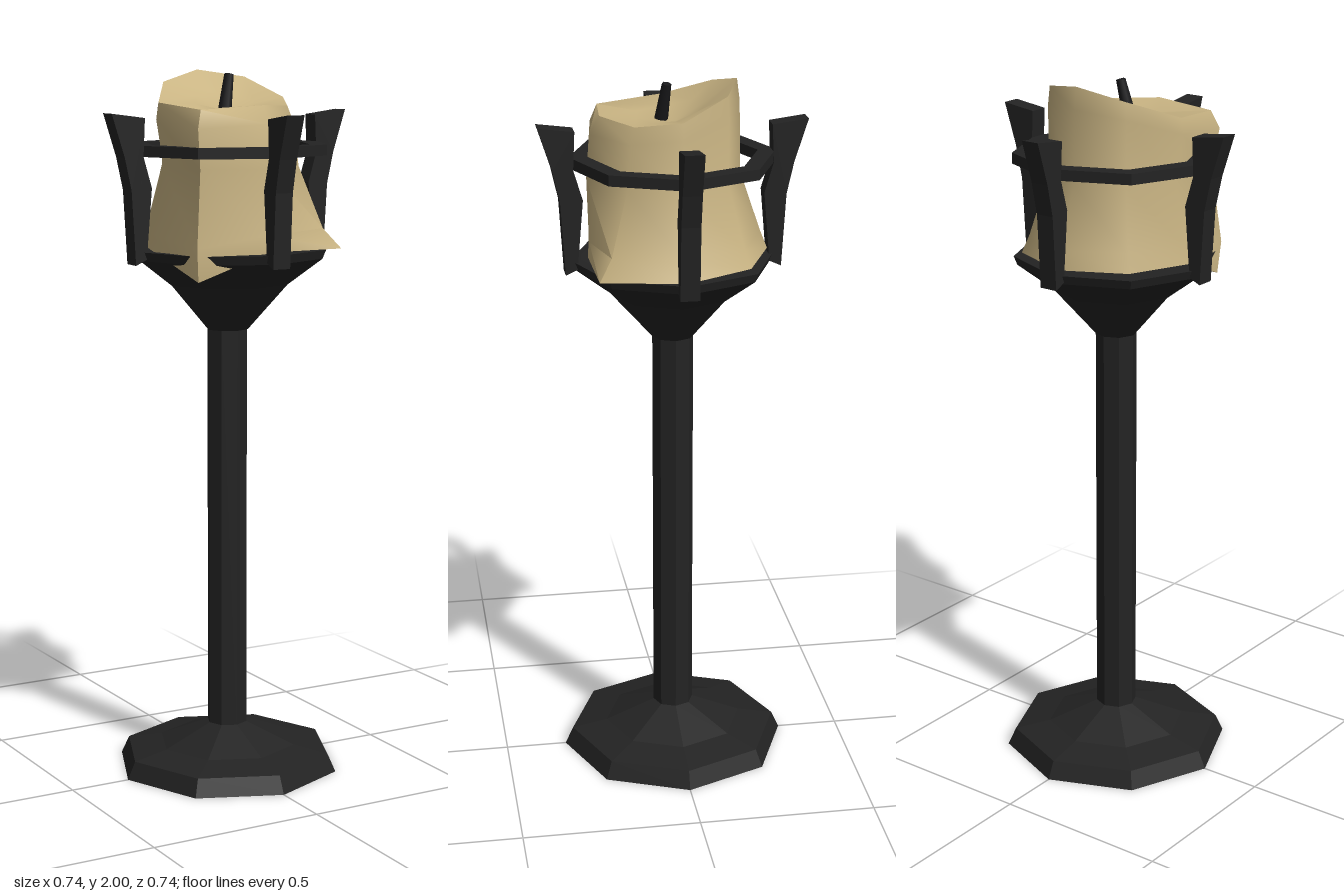
import * as THREE from 'three';
import { toCreasedNormals } from 'three/addons/utils/BufferGeometryUtils.js';

const SIDES = 8;

export function createModel() {
  const group = new THREE.Group();
  const iron = new THREE.MeshStandardMaterial({ color: 0x232323 });
  const wax = new THREE.MeshStandardMaterial({ color: 0xc9b483 });
  const char = new THREE.MeshStandardMaterial({ color: 0x18181a });

  const add = (name, geometry, material) => {
    const mesh = new THREE.Mesh(geometry, material);
    mesh.name = name;
    group.add(mesh);
    return mesh;
  };

  // Eight-sided turned iron part with flat faces
  const turned = (name, profile) => {
    const points = profile.map(([r, y]) => new THREE.Vector2(r, y));
    const geometry = new THREE.LatheGeometry(points, SIDES);
    return add(name, toCreasedNormals(geometry, 0.1), iron);
  };

  turned('base', [[0, 0], [0.325, 0], [0.302, 0.05], [0.2, 0.07], [0.055, 0.13], [0, 0.13]]);
  turned('pole', [[0.058, 0.12], [0.058, 1.3]]);
  turned('cup', [[0, 1.28], [0.06, 1.28], [0.175, 1.41], [0.275, 1.485], [0.285, 1.51], [0.23, 1.51], [0, 1.5]]);
  turned('ring', [[0.235, 1.77], [0.285, 1.77], [0.285, 1.8], [0.235, 1.8], [0.235, 1.77]]);

  // Four bent arms around the cup
  const armShape = new THREE.Shape([
    [0.3, 1.475], [0.312, 1.68], [0.332, 1.77], [0.37, 1.888], [0.27, 1.875],
    [0.275, 1.77], [0.25, 1.685], [0.267, 1.49],
  ].map(([x, y]) => new THREE.Vector2(x, y)));
  const armGeometry = new THREE.ExtrudeGeometry(armShape, { depth: 0.053, bevelEnabled: false });
  armGeometry.translate(0, 0, -0.0265);
  for (let i = 0; i < 4; i++) add('arm', armGeometry, iron).rotation.y = (i * Math.PI) / 2;

  // Melted candle: radius and height per column, from the front round by the left side
  const rings = [
    { r: [0, 0, 0, 0, 0, 0, 0, 0], y: Array(8).fill(1.505) },
    { r: [0.235, 0.328, 0.272, 0.262, 0.265, 0.25, 0.25, 0.285], y: [1.515, 1.515, 1.515, 1.52, 1.52, 1.52, 1.52, 1.44] },
    { r: [0.232, 0.275, 0.25, 0.24, 0.245, 0.235, 0.245, 0.295], y: [1.56, 1.57, 1.57, 1.57, 1.57, 1.57, 1.56, 1.53] },
    { r: [0.237, 0.205, 0.192, 0.185, 0.187, 0.19, 0.2, 0.265], y: Array(8).fill(1.74) },
    { r: [0.228, 0.19, 0.188, 0.185, 0.183, 0.192, 0.222, 0.285], y: [1.86, 1.86, 1.88, 1.93, 1.94, 1.92, 1.87, 1.85] },
    { r: [0.2, 0.172, 0.18, 0.18, 0.175, 0.185, 0.215, 0.26], y: [1.91, 1.905, 1.925, 1.98, 2, 1.968, 1.915, 1.9] },
    { r: [0.1, 0.09, 0.09, 0.09, 0.09, 0.09, 0.1, 0.12], y: [1.9, 1.9, 1.91, 1.93, 1.94, 1.93, 1.91, 1.9] },
    { r: [0, 0, 0, 0, 0, 0, 0, 0], y: Array(8).fill(1.885) },
  ];
  const candle = new THREE.LatheGeometry(rings.map((_, j) => new THREE.Vector2(0.1, j)), SIDES);
  for (let i = 0; i <= SIDES; i++) {
    rings.forEach(({ r, y }, j) => {
      const k = i % SIDES;
      const a = (k * Math.PI * 2) / SIDES;
      candle.attributes.position.setXYZ(i * rings.length + j, r[k] * Math.sin(a), y[k], r[k] * Math.cos(a));
    });
  }
  add('candle', toCreasedNormals(candle, 1.05), wax);

  // Leaning wick
  const wick = add('wick', new THREE.CylinderGeometry(0.013, 0.02, 0.12, 6), char);
  wick.position.set(-0.015, 1.932, 0.023);
  wick.rotation.set(-0.12, 0, -0.2);

  return group;
}
